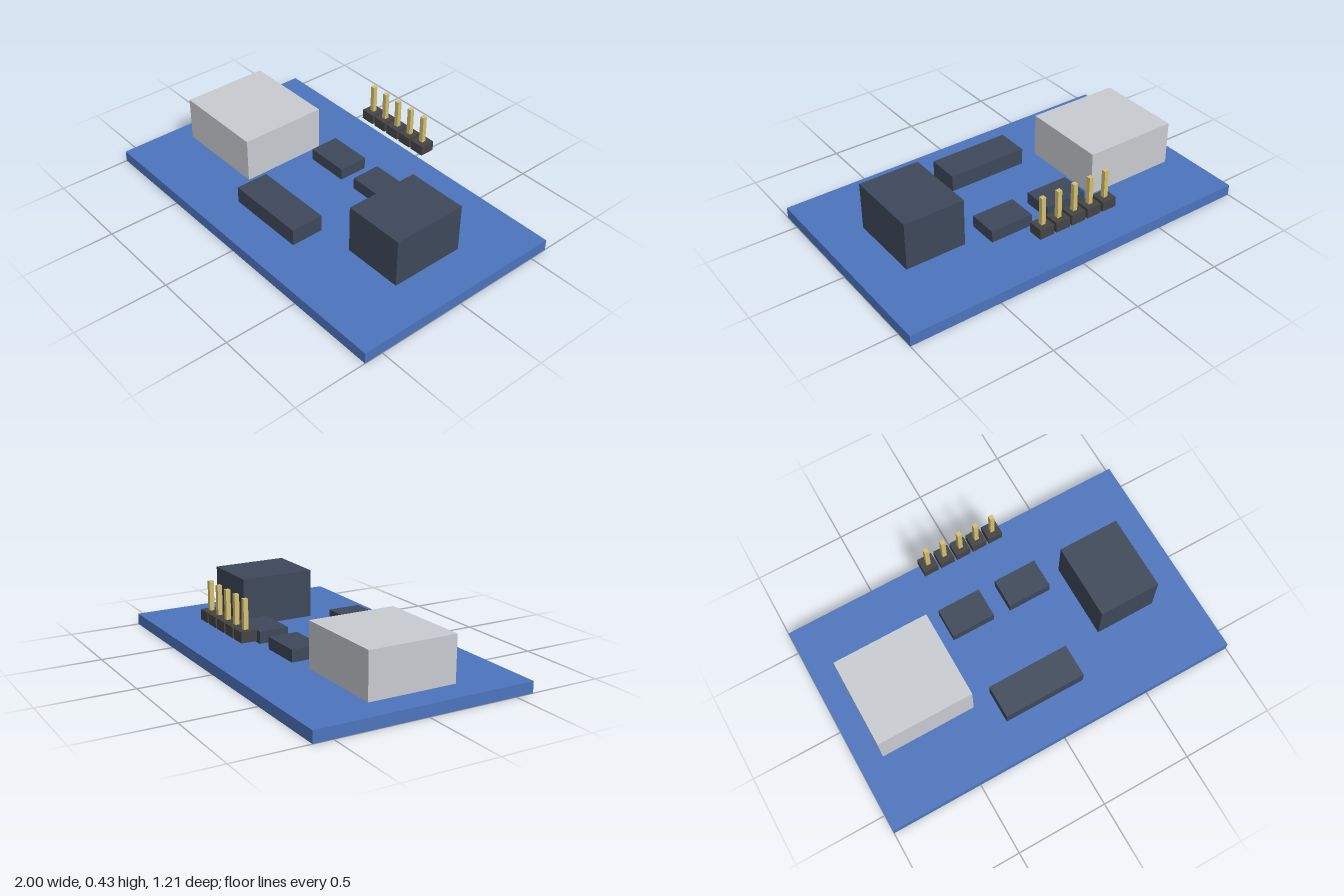
import * as THREE from 'three';

const mat = (color) => new THREE.MeshStandardMaterial({ color });

export function createModel() {
  const model = new THREE.Group();
  model.name = 'circuitBoard';
  const blue = mat(0x4d74bd);
  const dark = mat(0x3d4859);
  const silver = mat(0xc8cbd0);
  const black = mat(0x444444);
  const gold = mat(0xd4c070);

  // Box given by its extents along each axis
  function block(name, material, [x0, x1], [y0, y1], [z0, z1], parent = model) {
    const mesh = new THREE.Mesh(new THREE.BoxGeometry(x1 - x0, y1 - y0, z1 - z0), material);
    mesh.position.set((x0 + x1) / 2, (y0 + y1) / 2, (z0 + z1) / 2);
    mesh.name = name;
    parent.add(mesh);
  }

  // Base plate
  block('board', blue, [-1, 1], [0, 0.062], [-0.603, 0.603]);

  // Large components
  block('metalHousing', silver, [-0.869, -0.34], [0.073, 0.318], [-0.243, 0.243]);
  block('connectorBlock', dark, [0.435, 0.772], [0.073, 0.339], [-0.208, 0.208]);

  // Chips
  block('longChip', dark, [-0.228, 0.228], [0.07, 0.162], [0.211, 0.394]);
  block('smallChipRight', dark, [-0.255, -0.012], [0.086, 0.152], [-0.291, -0.126]);
  block('smallChipLeft', dark, [0.086, 0.329], [0.086, 0.152], [-0.291, -0.126]);

  // Raised row of header pins along the back edge
  const header = new THREE.Group();
  header.name = 'pinHeader';
  model.add(header);
  const z = -0.51;
  for (let i = -2; i <= 2; i++) {
    const x = i * 0.096;
    block('pinBase', black, [x - 0.041, x + 0.041], [0.22, 0.275], [z - 0.041, z + 0.041], header);
    block('pin', gold, [x - 0.012, x + 0.012], [0.24, 0.427], [z - 0.012, z + 0.012], header);
  }
  return model;
}
